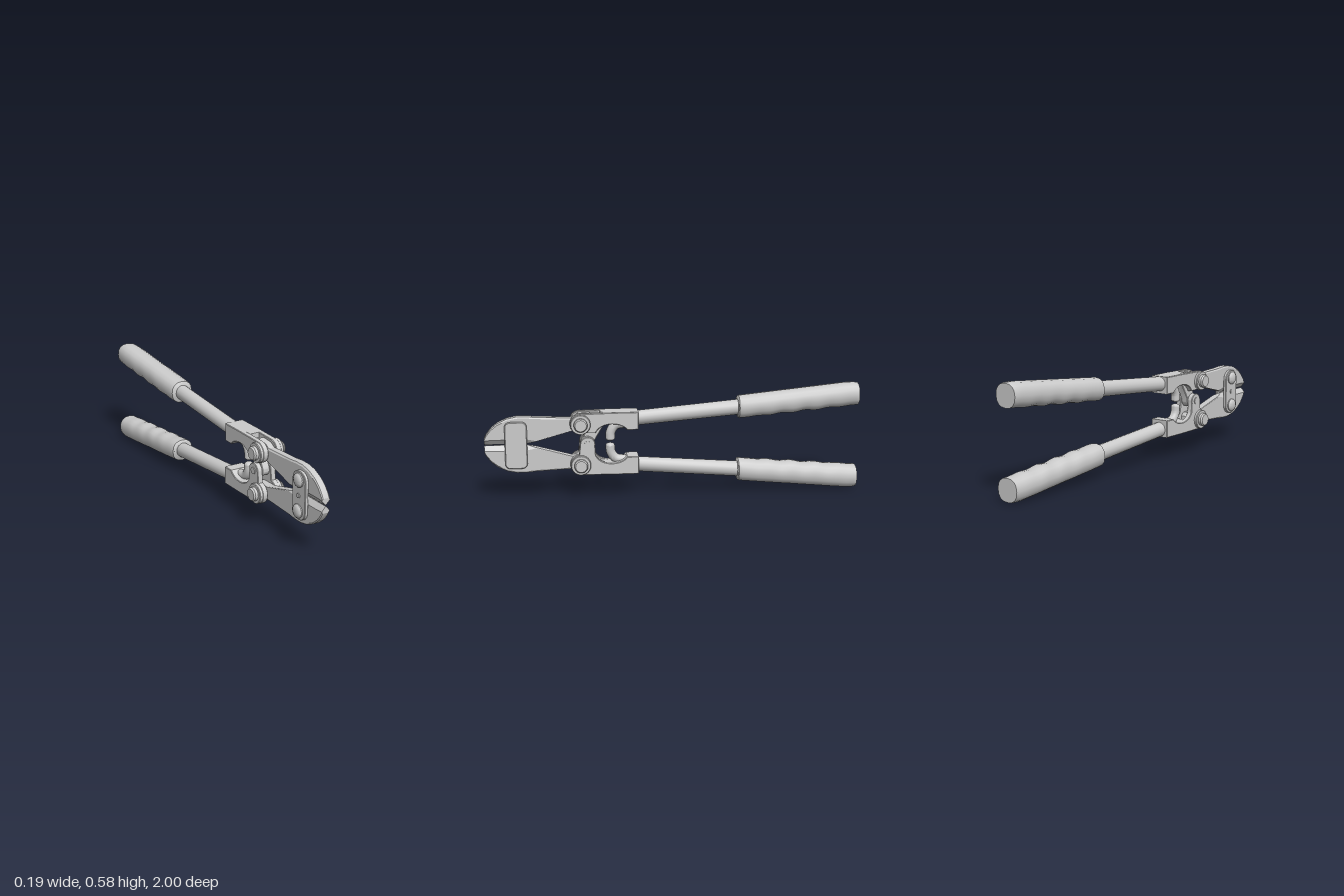
import * as THREE from 'three';
import { toCreasedNormals } from 'three/addons/utils/BufferGeometryUtils.js';

const MID = 0.291; // height of the mirror plane between the two halves
const steel = new THREE.MeshStandardMaterial({ color: 0xcccccc });

function part(name, geometry, crease = 0.6) {
  const mesh = new THREE.Mesh(toCreasedNormals(geometry, crease), steel);
  mesh.name = name;
  return mesh;
}

// Skin over convex sections { z, pts: [[x, y], ...] }, ordered by rising z
function loft(sections) {
  const n = sections[0].pts.length, pos = [], idx = [];
  sections.forEach(s => s.pts.forEach(p => pos.push(p[0], p[1], s.z)));
  for (let k = 0; k < sections.length - 1; k++) {
    for (let i = 0; i < n; i++) {
      const a = k * n + i, b = k * n + (i + 1) % n;
      idx.push(a, b, b + n, a, b + n, a + n);
    }
  }
  const last = (sections.length - 1) * n;
  for (let i = 1; i < n - 1; i++) {
    idx.push(0, i + 1, i, last, last + i, last + i + 1);
  }
  const g = new THREE.BufferGeometry();
  g.setAttribute('position', new THREE.Float32BufferAttribute(pos, 3));
  g.setIndex(idx);
  return g;
}

// Closed oval section, squarer for smaller powers
function oval(z, cy, rx, ry, sides = 16, power = 1) {
  const bend = v => Math.sign(v) * Math.abs(v) ** power;
  const pts = [];
  for (let i = 0; i < sides; i++) {
    const a = (i / sides) * Math.PI * 2;
    pts.push([rx * bend(Math.cos(a)), cy + ry * bend(Math.sin(a))]);
  }
  return { z, pts };
}

// Side profile drawn in (z, y), given thickness from x0 to x1
function slab(shape, x0, x1, bevel = 0.003) {
  const g = new THREE.ExtrudeGeometry(shape, {
    depth: x1 - x0 - 2 * bevel, bevelEnabled: true, bevelSize: bevel, bevelOffset: -bevel,
    bevelThickness: bevel, bevelSegments: 1, curveSegments: 12,
  });
  return g.rotateY(-Math.PI / 2).translate(x1 - bevel, 0, 0);
}

// Turned part along x from [radius, x] points
function turned(points, y, z) {
  const g = new THREE.LatheGeometry(points.map(p => new THREE.Vector2(p[0], p[1])), 24);
  return g.rotateZ(-Math.PI / 2).translate(0, y, z);
}

// Side profile of the clevis, with an optional ear around the centre pivot
function clevisShape(ear) {
  const s = new THREE.Shape();
  s.moveTo(0.19, 0.073);
  s.lineTo(0.25, 0.073);
  s.quadraticCurveTo(0.28, 0.108, 0.34, 0.106);
  s.quadraticCurveTo(0.40, 0.10, 0.418, 0.06);
  if (ear) {
    s.lineTo(0.421, 0.01);
    s.absarc(0.46, 0, 0.04, Math.PI, Math.PI * 2, false);
    s.lineTo(0.505, 0.056);
  } else {
    s.lineTo(0.47, 0.062);
  }
  s.absarc(0.497, 0.11, 0.055, -Math.PI / 2 + 0.1, Math.PI / 2, false);
  s.lineTo(0.33, 0.168);
  s.lineTo(0.19, 0.168);
  s.closePath();
  return s;
}

// Solid rear of the clevis, between its side walls
function coreShape() {
  const s = new THREE.Shape();
  s.moveTo(0.19, 0.073);
  s.lineTo(0.25, 0.073);
  s.quadraticCurveTo(0.28, 0.108, 0.34, 0.106);
  s.lineTo(0.39, 0.1);
  s.lineTo(0.39, 0.168);
  s.lineTo(0.19, 0.168);
  s.closePath();
  return s;
}

function tongueShape() {
  const s = new THREE.Shape();
  s.moveTo(0.37, 0.14);
  s.lineTo(0.37, 0.1);
  s.lineTo(0.424, 0.01);
  s.absarc(0.46, 0, 0.036, Math.PI, Math.PI * 2.2, false);
  s.lineTo(0.43, 0.14);
  s.closePath();
  return s;
}

function blade() {
  // z, bottom, top, height of the ground edge
  const rows = [
    [0.425, 0.09, 0.14, 0.001], [0.445, 0.07, 0.16, 0.001], [0.51, 0.068, 0.155, 0.001],
    [0.54, 0.068, 0.138, 0.001], [0.73, 0.016, 0.146, 0.004], [0.78, 0.002, 0.151, 0.028],
    [0.83, 0.002, 0.151, 0.028], [0.88, 0.002, 0.141, 0.028], [0.93, 0.002, 0.118, 0.028],
    [0.965, 0.002, 0.09, 0.028], [0.99, 0.002, 0.058, 0.026], [1.0, 0.004, 0.038, 0.022],
  ];
  return loft(rows.map(([z, b, t, edge]) => {
    const w = 0.022, e = edge > 0.01 ? 0.002 : w - 0.002;
    return { z, pts: [[e, b], [w, b + edge], [w, t - 0.008], [w - 0.005, t],
      [-w + 0.005, t], [-w, t - 0.008], [-w, b + edge], [-e, b]] };
  }));
}

// Grip with a swollen body and finger waves on the inner side
function grip() {
  const rows = [], steps = 36;
  for (let i = 0; i <= steps; i++) {
    const t = i / steps, z = -1 + 0.65 * t;
    const top = Math.min(0.291, 0.297 - 0.064 * t) - (i === 0 ? 0.003 : 0);
    const wave = 0.004 * Math.sin(t * Math.PI * 10) * Math.sin(t * Math.PI);
    const bottom = 0.168 - 0.056 * t + wave;
    const width = 0.062 + 0.008 * Math.sin(Math.PI * t) ** 0.5
      - 0.004 * Math.sin(Math.PI * t) ** 6;
    rows.push(oval(z, (top + bottom) / 2, width, (top - bottom) / 2, 16, 0.85));
  }
  rows.push(oval(-0.345, 0.172, 0.056, 0.054, 16, 0.85));
  return loft(rows);
}

function half(name, ear) {
  const g = new THREE.Group();
  g.name = name;
  g.add(part('blade', blade(), 0.45));
  g.add(part('handleRod', loft([oval(-0.4, 0.175, 0.04, 0.042), oval(0.2, 0.126, 0.04, 0.04)])));
  g.add(part('grip', grip(), 0.7));
  // clevis: two side walls and a solid rear
  for (const x of [-0.054, 0.024]) g.add(part('clevisWall', slab(clevisShape(ear), x, x + 0.03)));
  g.add(part('clevisCore', slab(coreShape(), -0.03, 0.03, 0.001)));
  if (!ear) g.add(part('pivotTongue', slab(tongueShape(), -0.022, 0.022)));
  // bosses and bolt heads either side of the blade tail
  g.add(part('bladeBolt', turned([
    [0, -0.093], [0.03, -0.093], [0.036, -0.085], [0.036, -0.07], [0.05, -0.07], [0.053, -0.066],
    [0.053, -0.03], [0.025, -0.03], [0.025, 0.03], [0.053, 0.03], [0.053, 0.066], [0.05, 0.07],
    [0.036, 0.07], [0.036, 0.085], [0.03, 0.093], [0, 0.093],
  ], 0.11, 0.497)));
  // bent stop that meets its twin when the handles close
  const path = new THREE.CatmullRomCurve3([[0.26, 0.1], [0.31, 0.09], [0.335, 0.055], [0.338, 0.02]]
    .map(([z, y]) => new THREE.Vector3(0, y, z)));
  g.add(part('stop', new THREE.TubeGeometry(path, 14, 0.025, 14), 0.8));
  const tip = new THREE.SphereGeometry(0.025, 14, 10).scale(1, 0.6, 1).translate(0, 0.02, 0.338);
  g.add(part('stopTip', tip, 0.8));
  return g;
}

function plateShape(z0, z1, h, r) {
  const s = new THREE.Shape();
  s.absarc(z1 - r, h - r, r, 0, Math.PI / 2, false);
  s.absarc(z0 + r, h - r, r, Math.PI / 2, Math.PI, false);
  s.absarc(z0 + r, -h + r, r, Math.PI, Math.PI * 1.5, false);
  s.absarc(z1 - r, -h + r, r, Math.PI * 1.5, Math.PI * 2, false);
  s.closePath();
  return s;
}

export function createModel() {
  const model = new THREE.Group();
  model.name = 'boltCutter';

  const upper = half('upperHalf', false);
  const lower = half('lowerHalf', true);
  lower.rotation.z = Math.PI;
  upper.position.y = lower.position.y = MID;
  model.add(upper, lower);

  // plates that tie the two blades together
  const joint = new THREE.Group();
  joint.name = 'bladeJoint';
  joint.position.y = MID;
  joint.add(part('leftPlate', slab(plateShape(0.776, 0.893, 0.126, 0.028), 0.021, 0.035, 0.004)));
  joint.add(part('rightPlate', slab(plateShape(0.78, 0.89, 0.126, 0.05), -0.04, -0.021)));
  for (const y of [-0.08, 0.08]) {
    joint.add(part('plateBolt', turned([
      [0, -0.059], [0.018, -0.058], [0.03, -0.053], [0.036, -0.046], [0.036, -0.038], [0, -0.038],
    ], y, 0.835)));
  }
  joint.add(part('platePin', turned([[0, -0.046], [0.012, -0.045], [0.012, -0.036]], 0, 0.835)));
  joint.add(part('centrePin', turned([
    [0, -0.058], [0.018, -0.058], [0.018, 0.058], [0, 0.058]], 0, 0.46)));
  model.add(joint);
  return model;
}
